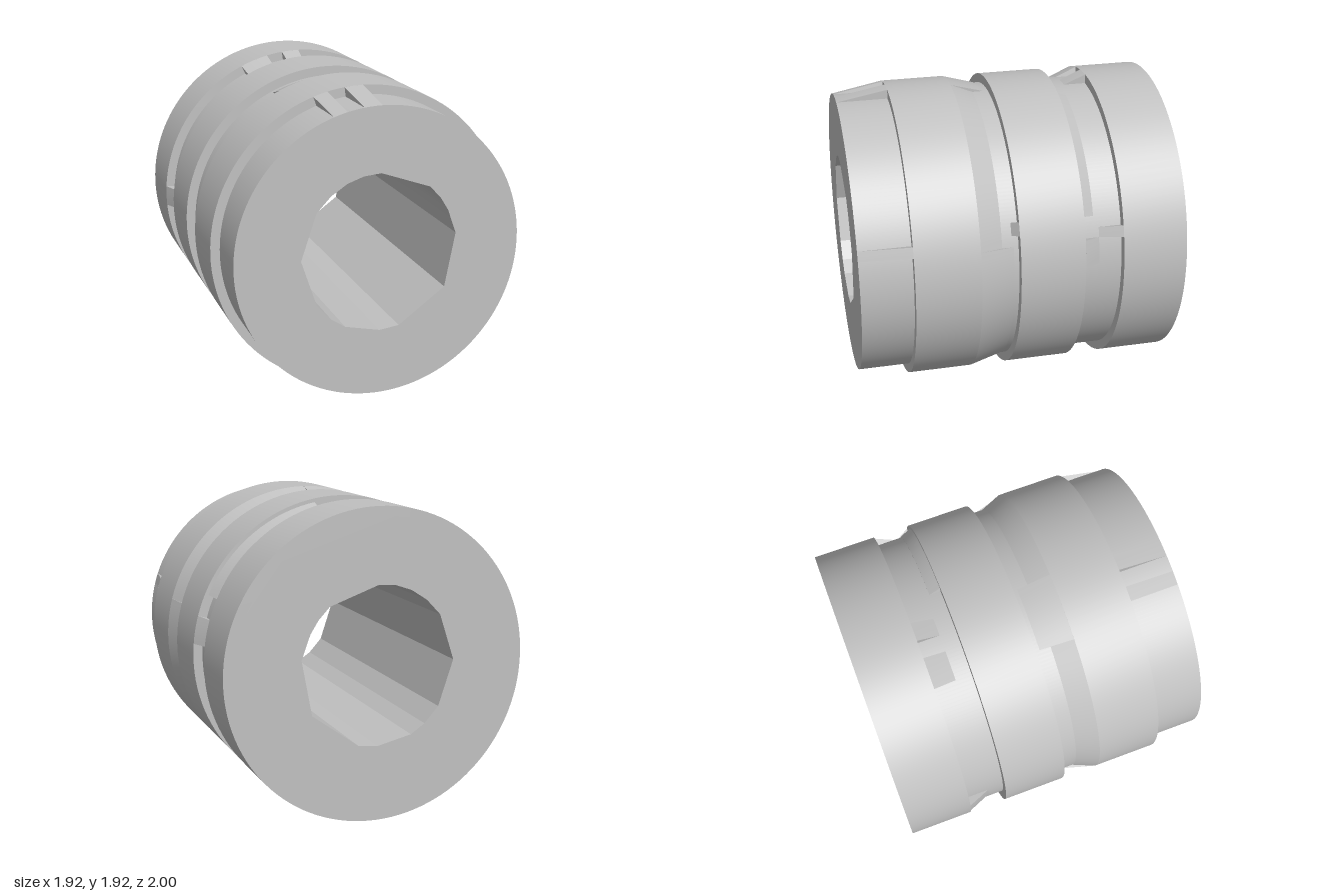
import * as THREE from 'three';
import { toCreasedNormals } from 'three/addons/utils/BufferGeometryUtils.js';

const CY = 0.958, R = 0.958, FLOOR = 0.9;
const rad = THREE.MathUtils.degToRad;

export function createModel() {
  const model = new THREE.Group();
  model.name = 'groovedSleeve';
  const grey = new THREE.MeshStandardMaterial({ color: 0xc0c0c0 });
  grey.name = 'grey';

  const add = (geometry, name) => {
    const mesh = new THREE.Mesh(geometry, grey);
    mesh.name = name;
    mesh.position.y = CY;
    model.add(mesh);
  };

  // Revolves an [r, z] profile about the z axis, between angles measured from +x
  const sweep = (name, profile, from = 0, to = 360) => {
    const points = profile.map(([r, z]) => new THREE.Vector2(r, z));
    const steps = Math.max(2, Math.round((to - from) / 3));
    const skin = new THREE.LatheGeometry(points, steps, rad(from + 90), rad(to - from));
    skin.rotateX(Math.PI / 2);
    add(toCreasedNormals(skin, rad(20)), name);
    if (to - from >= 360) return;
    // Flat ends of a partial ring
    for (const [angle, flip] of [[from, false], [to, true]]) {
      const cap = new THREE.ShapeGeometry(new THREE.Shape(points));
      cap.rotateX(Math.PI / 2); // shape y becomes z, shape front faces -y
      if (flip) {
        const index = cap.index.array;
        for (let i = 0; i < index.length; i += 3) [index[i], index[i + 1]] = [index[i + 1], index[i]];
        cap.computeVertexNormals();
      }
      cap.rotateZ(rad(angle));
      add(cap, name + 'End');
    }
  };

  // Core with the irregular many-sided bore
  const outline = new THREE.Shape().absarc(0, 0, FLOOR, 0, Math.PI * 2);
  const bore = [
    [0, 1.455], [0.31, 1.345], [0.38, 1.27], [0.43, 1.19], [0.485, 1.04], [0.42, 0.7],
    [0.125, 0.485], [0, 0.47], [-0.22, 0.52], [-0.31, 0.58], [-0.4, 0.68], [-0.495, 0.965],
    [-0.4, 1.25], [-0.31, 1.345], [-0.21, 1.41], [-0.11, 1.445],
  ];
  outline.holes.push(new THREE.Path(bore.map(([x, y]) => new THREE.Vector2(x, y - CY))));
  const core = new THREE.ExtrudeGeometry(outline, { depth: 2, bevelEnabled: false, curveSegments: 120 });
  core.translate(0, 0, -1);
  add(toCreasedNormals(core, rad(12)), 'core');

  // Three raised collars
  for (const [name, z0, z1] of [['rearCollar', -1, -0.6], ['middleCollar', -0.36, 0.04], ['frontCollar', 0.28, 0.68]])
    sweep(name, [[FLOOR, z0], [R, z0], [R, z1], [FLOOR, z1]]);

  // Tapers running down into the middle groove: short above, long below
  const taper = (end) => [[FLOOR - 0.01, end], [FLOOR, end], [R, 0.28], [FLOOR - 0.01, 0.28]];
  sweep('upperTaper', taper(0.14), 15, 195);
  sweep('lowerTaper', taper(0.07), 195, 375);
  sweep('topTaper', taper(0.07), 90, 115);

  // Fillet on the back of the middle collar
  sweep('filletStrip', [[FLOOR - 0.01, -0.43], [FLOOR + 0.003, -0.43], [0.935, -0.36], [FLOOR - 0.01, -0.36]], 24, 80);

  // Small ramps on the front step
  const frontRamp = [[FLOOR - 0.01, 0.68], [R, 0.68], [FLOOR, 1], [FLOOR - 0.01, 1]];
  for (const [from, to] of [[90, 97], [103.5, 109], [15.5, 19.5], [245, 257]])
    sweep('frontRamp', frontRamp, from, to);

  // Small ramps in the rear groove
  const rearRamp = [[FLOOR - 0.01, -0.6], [R, -0.6], [FLOOR, -0.46], [FLOOR - 0.01, -0.46]];
  for (const [from, to] of [[90, 97], [103.5, 115], [15.5, 19.5], [176, 184], [240, 257]])
    sweep('rearRamp', rearRamp, from, to);

  // Short stops against the back of the middle and front collars
  sweep('rearGrooveStop', [[FLOOR - 0.01, -0.46], [FLOOR, -0.46], [R, -0.36], [FLOOR - 0.01, -0.36]], 5, 15.5);
  sweep('middleGrooveStop', [[FLOOR - 0.01, 0.04], [R, 0.04], [FLOOR, 0.08], [FLOOR - 0.01, 0.08]], 19.5, 24.5);
  return model;
}
